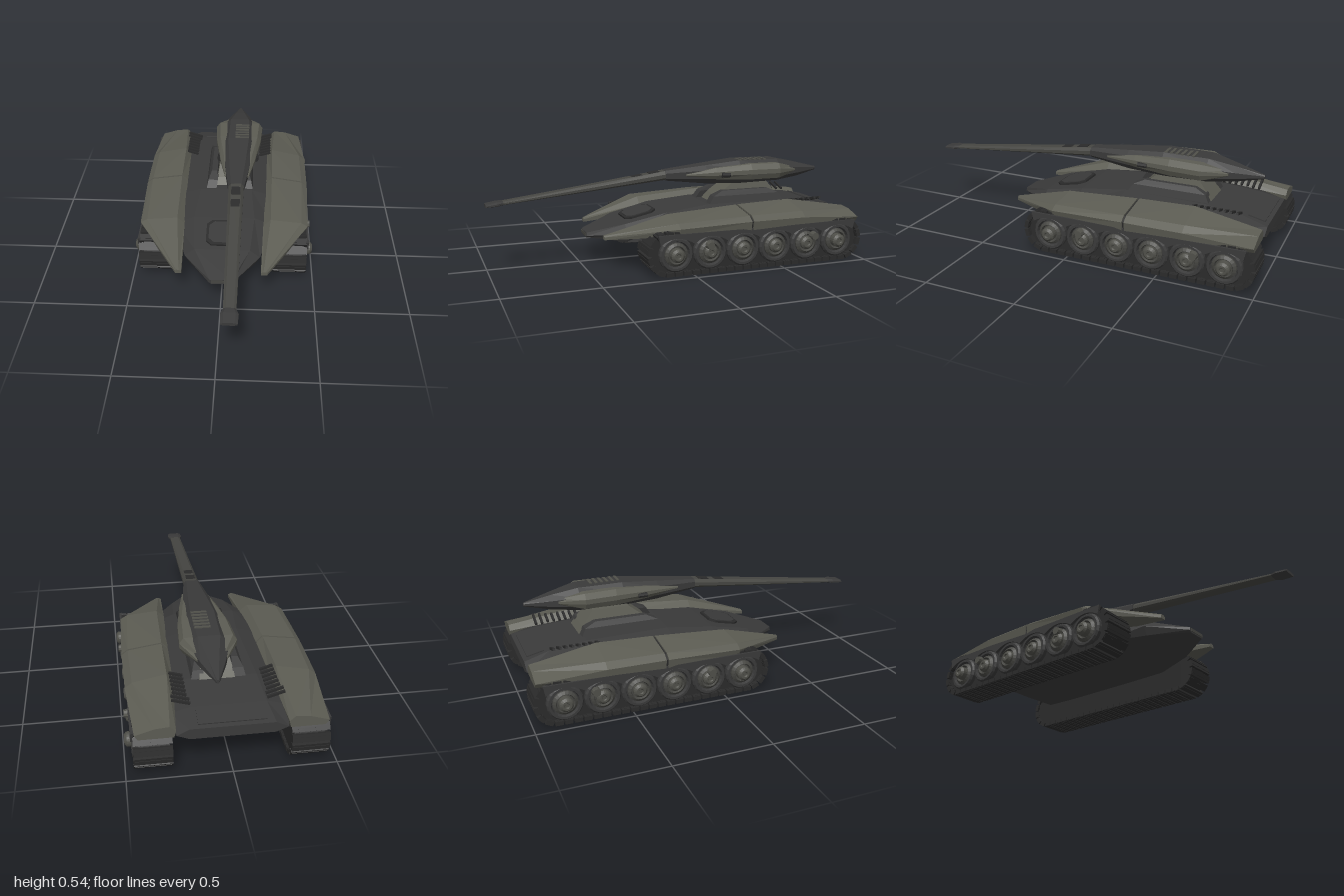
import * as THREE from 'three';

const mat = (name, color) => {
  const m = new THREE.MeshStandardMaterial({ color });
  m.name = name;
  return m;
};

export function createModel() {
  const root = new THREE.Group();
  root.name = 'tank';
  const olive = mat('olive grey armour', 0x5c5c53);
  const dark = mat('charcoal hull', 0x3a3a3a);
  const gunGrey = mat('gun grey', 0x464642);
  const rubber = mat('track black', 0x2b2b2b);
  const steel = mat('wheel steel', 0x50504a);

  const flat = (g) => {
    const f = g.index ? g.toNonIndexed() : g;
    f.computeVertexNormals();
    return f;
  };
  const add = (name, geo, material, parent = root) => {
    const mesh = new THREE.Mesh(flat(geo), material);
    mesh.name = name;
    parent.add(mesh);
    return mesh;
  };
  const box = (name, size, pos, material, parent = root) => {
    const mesh = add(name, new THREE.BoxGeometry(...size), material, parent);
    mesh.position.set(...pos);
    return mesh;
  };

  // Closed skin through rings of [x, y, z]; winding is turned outward by its volume
  const loft = (rings) => {
    const tris = [];
    const n = rings[0].length;
    const last = rings.length - 1;
    for (let r = 0; r < last; r++) {
      for (let i = 0; i < n; i++) {
        const j = (i + 1) % n;
        const [a, b, c, d] = [rings[r][i], rings[r][j], rings[r + 1][j], rings[r + 1][i]];
        tris.push([a, b, c], [a, c, d]);
      }
    }
    for (let i = 1; i < n - 1; i++) {
      tris.push([rings[0][0], rings[0][i + 1], rings[0][i]]);
      tris.push([rings[last][0], rings[last][i], rings[last][i + 1]]);
    }
    const v = (p) => new THREE.Vector3(...p);
    const volume = tris.reduce((s, [a, b, c]) => s + v(a).dot(v(b).cross(v(c))), 0);
    if (volume < 0) tris.forEach((t) => t.reverse());
    const g = new THREE.BufferGeometry();
    g.setAttribute('position', new THREE.Float32BufferAttribute(tris.flat(2), 3));
    return g;
  };
  // Mirror-symmetric ring about x = cx from half points [halfWidth, y]
  const ring = (z, half, cx = 0) => [
    ...half.map(([w, y]) => [cx + w, y, z]),
    ...[...half].reverse().map(([w, y]) => [cx - w, y, z]),
  ];
  // Side profile drawn in (z, y), extruded from x0 to x1
  const sideExtrude = (shape, x0, x1) => {
    const g = new THREE.ExtrudeGeometry(shape, { depth: x1 - x0, bevelEnabled: false, curveSegments: 10 });
    return g.rotateY(-Math.PI / 2).translate(x1, 0, 0);
  };

  // Hull
  add('hull', loft([
    ring(0.47, [[0.05, 0.145], [0.062, 0.155], [0.058, 0.172]]),
    ring(0.28, [[0.18, 0.135], [0.205, 0.18], [0.15, 0.225]]),
    ring(0.05, [[0.27, 0.13], [0.27, 0.235], [0.17, 0.275]]),
    ring(-0.2, [[0.275, 0.13], [0.27, 0.265], [0.15, 0.3]]),
    ring(-0.65, [[0.275, 0.13], [0.28, 0.265], [0.17, 0.302]]),
    ring(-0.85, [[0.275, 0.135], [0.28, 0.25], [0.18, 0.28]]),
    ring(-0.98, [[0.2, 0.195], [0.26, 0.22], [0.2, 0.25]]),
  ]), dark);
  box('nosePlate', [0.1, 0.016, 0.008], [0, 0.16, 0.47], gunGrey);
  const rearPanel = box('rearDeckPanel', [0.32, 0.006, 0.09], [0, 0.268, -0.915], gunGrey);
  rearPanel.rotation.x = -0.227;
  rearPanel.material = dark;

  // Front hatch: raised frame and lid on the sloping deck
  const hatch = (name, w, l, h, material) => {
    const c = 0.03;
    const s = new THREE.Shape([[-w, -l + c], [-w + c, -l], [w - c, -l], [w, -l + c], [w, l - c], [w - c, l], [c - w, l], [-w, l - c]]
      .map(([x, y]) => new THREE.Vector2(x, y)));
    const m = add(name, new THREE.ExtrudeGeometry(s, { depth: h, bevelEnabled: false }), material);
    m.rotation.x = -Math.PI / 2 + 0.214;
    m.position.set(0, 0.248, 0.165);
  };
  hatch('hatchFrame', 0.092, 0.09, 0.012, rubber);
  hatch('hatchLid', 0.078, 0.076, 0.016, dark);

  // Fenders: ring points run inner bottom, outer bottom, outer side, shoulder, ridge, inner edge
  const frontFender = [
    [0.42, [[0.21, 0.17], [0.243, 0.17], [0.243, 0.185], [0.236, 0.192], [0.224, 0.192], [0.21, 0.185]]],
    [0.08, [[0.22, 0.2], [0.455, 0.21], [0.467, 0.25], [0.43, 0.272], [0.26, 0.288], [0.22, 0.25]]],
    [-0.315, [[0.23, 0.21], [0.47, 0.215], [0.478, 0.262], [0.445, 0.288], [0.268, 0.314], [0.235, 0.28]]],
  ];
  const rearFender = [
    [-0.327, [[0.23, 0.21], [0.47, 0.215], [0.478, 0.262], [0.445, 0.288], [0.268, 0.315], [0.235, 0.28]]],
    [-0.63, [[0.24, 0.21], [0.468, 0.215], [0.476, 0.262], [0.44, 0.29], [0.27, 0.325], [0.24, 0.28]]],
    [-0.975, [[0.27, 0.21], [0.435, 0.21], [0.452, 0.235], [0.36, 0.264], [0.29, 0.27], [0.262, 0.245]]],
  ];
  const seam = [-0.31, -0.335].map((z) => [z, [[0.24, 0.215], [0.462, 0.22], [0.47, 0.26], [0.44, 0.281], [0.27, 0.306], [0.243, 0.278]]]);

  // Running gear shapes
  const R = 0.106, zF = 0.135, zR = -0.875, cy = 0.119;
  const core = new THREE.Shape();
  core.absarc(zF, cy, R, -Math.PI / 2, Math.PI / 2, false);
  core.absarc(zR, cy, R, Math.PI / 2, Math.PI * 1.5, false);
  const wheelZ = [0.1, -0.088, -0.276, -0.464, -0.652, -0.84];
  const skirtShape = new THREE.Shape();
  skirtShape.moveTo(0.2, 0.225);
  skirtShape.lineTo(0.19, 0.175);
  wheelZ.forEach((z) => skirtShape.quadraticCurveTo(z, 0.235, z - 0.094, 0.172));
  skirtShape.lineTo(-0.945, 0.225);

  // Point and heading at distance d around the track loop
  const straight = zF - zR, arc = Math.PI * R, loop = 2 * (straight + arc);
  const trackPoint = (d) => {
    if (d < straight) return [zR + d, cy - R, 0];
    d -= straight;
    if (d < arc) return [zF + R * Math.sin(d / R), cy - R * Math.cos(d / R), d / R];
    d -= arc;
    if (d < straight) return [zF - d, cy + R, Math.PI];
    const a = (d - straight) / R;
    return [zR - R * Math.sin(a), cy + R * Math.cos(a), Math.PI + a];
  };
  const lathe = (pts) => new THREE.LatheGeometry(pts.map(([r, y]) => new THREE.Vector2(r, y)), 20);

  for (const s of [1, -1]) {
    const side = new THREE.Group();
    side.name = s > 0 ? 'leftRunningGear' : 'rightRunningGear';
    root.add(side);
    const span = (x0, x1) => (s > 0 ? [x0, x1] : [-x1, -x0]);
    const mirrored = (list) => loft(list.map(([z, pts]) => pts.map(([x, y]) => [s * x, y, z])));
    add('frontFender', mirrored(frontFender), olive, side);
    add('rearFender', mirrored(rearFender), olive, side);
    add('fenderSeam', mirrored(seam), rubber, side);

    // Track belt and pads
    add('trackCore', sideExtrude(core, ...span(0.29, 0.435)), rubber, side);
    const pads = 56;
    for (let i = 0; i < pads; i++) {
      const [z, y, a] = trackPoint((i / pads) * loop);
      box('trackPad', [0.182, 0.022, 0.04], [s * 0.369, y, z], rubber, side).rotation.x = -a;
      box('trackGrouser', [0.17, 0.027, 0.012], [s * 0.369, y, z], rubber, side).rotation.x = -a;
    }
    add('scallopedSkirt', sideExtrude(skirtShape, ...span(0.455, 0.47)), dark, side);

    // Road wheels; the end wheels have longer hubs
    wheelZ.forEach((z, i) => {
      const out = i === 0 || i === 5 ? 0.064 : 0.048;
      const wheel = new THREE.Group();
      wheel.name = 'roadWheel';
      wheel.position.set(s * 0.432, 0.117, z);
      wheel.rotation.z = (-s * Math.PI) / 2;
      side.add(wheel);
      add('tyre', lathe([[0.092, 0], [0.092, 0.022], [0.084, 0.032], [0.072, 0.032], [0.066, 0.014], [0, 0.014]]), dark, wheel);
      add('rim', lathe([[0.062, 0.01], [0.062, 0.024], [0.048, 0.034], [0.042, 0.02], [0, 0.02]]), gunGrey, wheel);
      add('hub', lathe([[0.036, 0.014], [0.036, out - 0.012], [0.024, out], [0.014, out], [0.01, out - 0.006], [0, out - 0.006]]), steel, wheel);
    });
    // Small return rollers
    for (const z of [-0.08, -0.69]) {
      const roller = add('returnRoller', new THREE.CylinderGeometry(0.02, 0.024, 0.03, 10), steel, side);
      roller.rotation.z = (-s * Math.PI) / 2;
      roller.position.set(s * 0.475, 0.155, z);
    }
    // Louvre blades beside the rear deck
    for (let i = 0; i < 8; i++) {
      const blade = box('louvreBlade', [0.07 + (i > 5 ? 0.02 : 0), 0.012, 0.012], [s * 0.225, 0.307, -0.61 - i * 0.033], rubber, side);
      blade.rotation.z = s * 0.3;
    }
  }

  // Turret, offset to one side
  const cx = 0.065;
  const turret = new THREE.Group();
  turret.name = 'turret';
  root.add(turret);
  const slab = (y, x0, x1, z0, z1) => [[x0, y, z0], [x1, y, z0], [x1, y, z1], [x0, y, z1]];
  add('pedestal', loft([slab(0.28, -0.065, 0.118, -0.23, -0.68), slab(0.335, -0.055, 0.11, -0.28, -0.64), slab(0.412, -0.035, 0.095, -0.38, -0.58)]), olive, turret);
  for (const s of [1, -1]) {
    const o = 0.02;
    const bx = (a) => o + s * a;
    add('pedestalBracket', loft([
      slab(0.28, bx(0.08), bx(0.14), -0.2, -0.67),
      slab(0.34, bx(0.07), bx(0.125), -0.24, -0.64),
      slab(0.367, bx(0.075), bx(0.108), -0.3, -0.58),
    ]), dark, turret);
  }
  const body = (z, tw, yt, mw, yu, yl, bw, yb) => ring(z, [[tw, yt], [mw, yu], [mw, yl], [bw, yb]], cx);
  add('turretBody', loft([
    body(0.03, 0.03, 0.492, 0.045, 0.478, 0.45, 0.03, 0.438),
    body(-0.2, 0.048, 0.514, 0.075, 0.488, 0.44, 0.05, 0.412),
    body(-0.4, 0.06, 0.533, 0.092, 0.495, 0.438, 0.06, 0.404),
    body(-0.64, 0.055, 0.53, 0.1, 0.488, 0.438, 0.06, 0.408),
    body(-0.78, 0.028, 0.5, 0.06, 0.475, 0.444, 0.03, 0.42),
    body(-0.92, 0.004, 0.466, 0.008, 0.46, 0.452, 0.004, 0.446),
  ]), dark, turret);

  // Side pods
  const pod = [
    [-0.08, 0.045, 0.066, 0.455, 0.475],
    [-0.25, 0.06, 0.1, 0.438, 0.5],
    [-0.45, 0.07, 0.13, 0.43, 0.516],
    [-0.62, 0.075, 0.14, 0.432, 0.515],
    [-0.75, 0.05, 0.072, 0.45, 0.48],
  ];
  for (const s of [1, -1]) {
    add('sidePod', loft(pod.map(([z, xi, xo, yb, yt]) => [
      [xi, yb], [xo - 0.015, yb], [xo, yb + (yt - yb) * 0.35], [xo, yb + (yt - yb) * 0.65], [xo - 0.02, yt], [xi, yt],
    ].map(([x, y]) => [cx + s * x, y, z]))), olive, turret);
    const lens = add('podSensor', new THREE.CylinderGeometry(0.014, 0.014, 0.05, 8), rubber, turret);
    lens.rotation.x = Math.PI / 2;
    lens.position.set(cx + s * 0.105, 0.462, -0.3);
  }
  // Roof vents
  for (let i = 0; i < 6; i++) box('roofVent', [0.08, 0.008, 0.015], [cx + 0.02, 0.532, -0.41 - i * 0.03], steel, turret);

  // Gun: flat tapering barrel with slots along its top
  const barrel = (z, w, yc, h) => ring(z, [[w * 0.65, yc + h], [w, yc + h * 0.3], [w, yc - h * 0.5], [w * 0.6, yc - h]], cx);
  add('gunBarrel', loft([
    barrel(0.02, 0.042, 0.467, 0.025),
    barrel(0.5, 0.036, 0.414, 0.016),
    barrel(0.92, 0.031, 0.369, 0.009),
  ]), gunGrey, turret);
  add('muzzle', loft([barrel(0.91, 0.031, 0.37, 0.01), barrel(0.94, 0.043, 0.367, 0.012), barrel(1, 0.04, 0.361, 0.008)]), dark, turret);
  for (let i = 0; i < 9; i++) {
    const t = i / 8;
    const slot = box('barrelSlot', [0.05 - 0.012 * t, 0.008, 0.06], [cx, 0.482 - 0.11 * t - 0.004 * Math.sin(Math.PI * t), 0.09 + 0.77 * t], rubber, turret);
    slot.rotation.x = 0.135;
  }
  return root;
}
